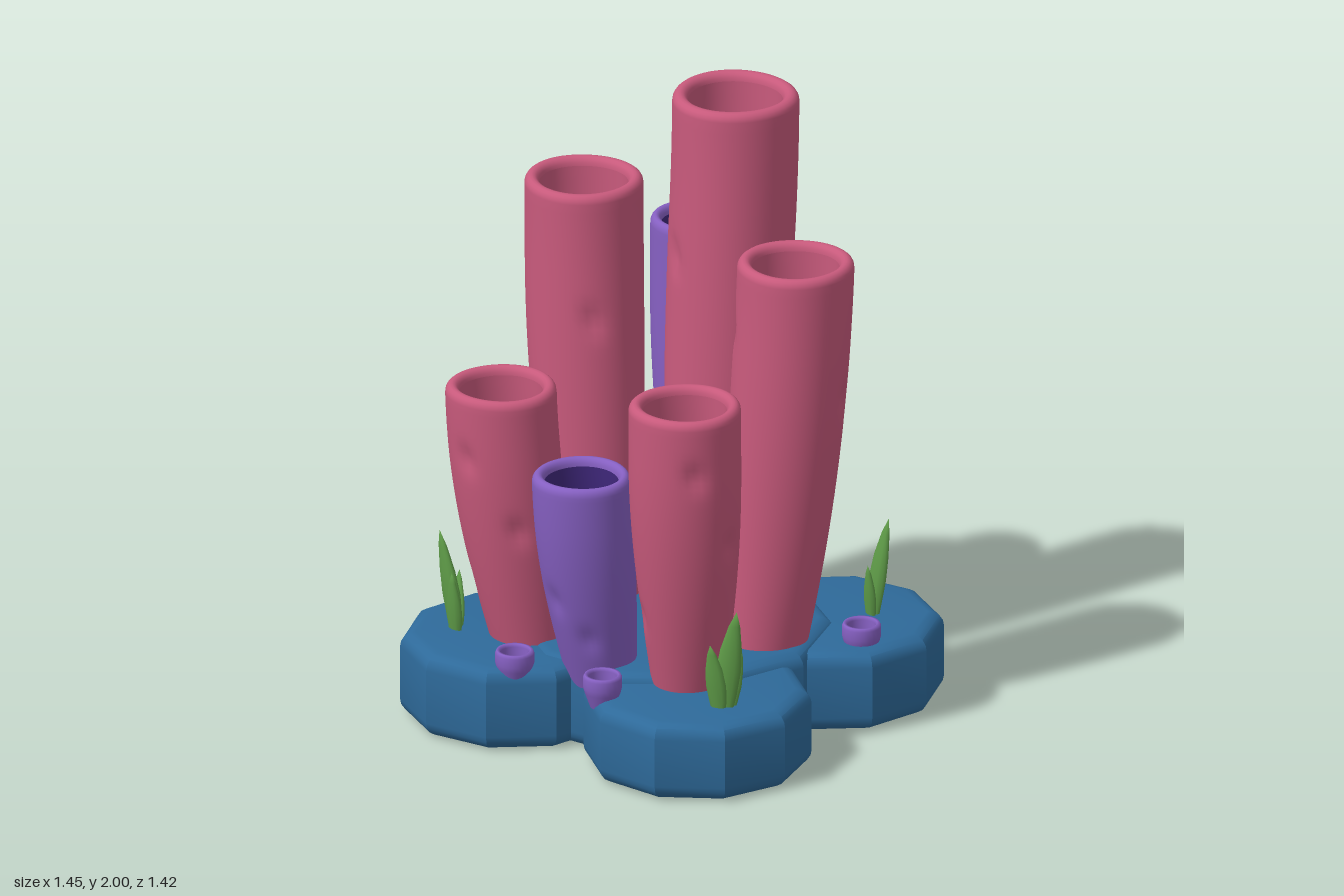
import * as THREE from 'three';
import { mergeVertices, toCreasedNormals } from 'three/addons/utils/BufferGeometryUtils.js';

const mat = (name, color) => Object.assign(new THREE.MeshStandardMaterial({ color }), { name });
const V2 = (x, y) => new THREE.Vector2(x, y);

export function createModel() {
  const group = new THREE.Group();
  const pink = mat('coral pink', 0xc85a7c);
  const purple = mat('sponge purple', 0x8660c2);
  const dark = mat('deep purple', 0x40287c);
  const blue = mat('rock blue', 0x2e6a9a);
  const green = mat('weed green', 0x5f9c48);

  const add = (parent, name, geo, material) => {
    const m = new THREE.Mesh(geo, material);
    m.name = name;
    parent.add(m);
    return m;
  };

  // Smooth normals across the lathe seam
  const smooth = (geo) => {
    geo.deleteAttribute('uv');
    geo.deleteAttribute('normal');
    const g = mergeVertices(geo, 1e-5);
    g.computeVertexNormals();
    return g;
  };

  // Rock base: ten-sided bevelled slabs
  const rock = (name, pts, height) => {
    const b = 0.05;
    const geo = new THREE.ExtrudeGeometry(new THREE.Shape(pts), {
      depth: height - 2 * b, bevelThickness: b, bevelSize: b, bevelOffset: -b, bevelSegments: 4,
    });
    geo.rotateX(-Math.PI / 2).translate(0, b, 0);
    add(group, name, toCreasedNormals(geo, 0.5), blue);
  };
  const ring = (cx, cz, r, flipX, flipZ, start) => Array.from({ length: 10 }, (_, i) => {
    const a = start + i * Math.PI / 5;
    return V2(flipX * (cx + r * Math.cos(a)), -flipZ * (cz + r * Math.sin(a)));
  });
  rock('centreRock', ring(0, 0, 0.52, 1, 1, 0), 0.29);
  for (const [sx, sz, h] of [[1, 1, 0.26], [-1, 1, 0.28], [1, -1, 0.27], [-1, -1, 0.275]]) {
    rock('lobeRock', ring(0.362, 0.358, 0.365, sx, sz, -0.56), h);
  }

  // Hollow leaning tubes; dents are [angle from front, height]
  const tube = (name, base, top, r0, r1, height, wallMat, cavityMat, dents) => {
    const y0 = 0.2, span = height - y0, wall = r1 * 0.25;
    const radius = (t) => r0 + (r1 - r0) * Math.sin(Math.min(1, t / 0.8) * Math.PI / 2);
    const bend = (geo) => {
      const p = geo.attributes.position, v = new THREE.Vector3();
      for (let i = 0; i < p.count; i++) {
        v.fromBufferAttribute(p, i);
        const t = (v.y - y0) / span, k = 1 - Math.pow(1 - Math.min(t, 1), 1.5);
        const r = Math.hypot(v.x, v.z), a = Math.atan2(v.x, v.z);
        let s = 1 + 0.015 * Math.sin(3 * a + 4 * v.y);
        if (r > radius(t) - 0.01) {
          for (const [da, dy] of dents) {
            const d = Math.atan2(Math.sin(a - da), Math.cos(a - da)) * r / 0.03;
            const e = (v.y - dy) / 0.045;
            s -= 0.09 * Math.exp(-d * d - e * e);
          }
        }
        p.setXYZ(i, v.x * s + base[0] + (top[0] - base[0]) * k, v.y,
          v.z * s + base[1] + (top[1] - base[1]) * k);
      }
      return smooth(geo);
    };
    const outer = [], rim = 0.028;
    for (let i = 0; i <= 44; i++) {
      const t = i / 44 * (span - rim) / span;
      outer.push(V2(radius(t), y0 + t * span));
    }
    for (let i = 1; i <= 8; i++) {
      const a = i / 8 * Math.PI;
      outer.push(V2(r1 - wall / 2 + wall / 2 * Math.cos(a), height - rim + rim * Math.sin(a)));
    }
    const depth = Math.min(0.4, span * 0.4), cavity = [];
    for (let i = 0; i <= 8; i++) {
      const y = height - rim - depth * i / 8;
      cavity.push(V2(radius((y - y0) / span) - wall, y));
    }
    const floorY = height - rim - depth;
    const part = new THREE.Group();
    part.name = name;
    group.add(part);
    add(part, 'wall', bend(new THREE.LatheGeometry(outer, 48)), wallMat);
    add(part, 'cavity', bend(new THREE.LatheGeometry(cavity, 48)), cavityMat);
    add(part, 'cavityFloor', bend(new THREE.LatheGeometry(
      [V2(cavity[8].x, floorY), V2(0, floorY)], 48)), cavityMat);
  };
  tube('tallBackTube', [0, -0.21], [0.015, -0.32], 0.15, 0.203, 2.0, pink, pink,
    [[-0.5, 1.47], [1.5, 0.75], [2.6, 1.5], [-2.2, 0.9]]);
  tube('backRightTube', [-0.33, -0.05], [-0.43, -0.11], 0.135, 0.19, 1.675, pink, pink,
    [[0.75, 1.25], [-1.2, 0.9], [-2.6, 1.3]]);
  tube('backLeftTube', [0.32, -0.05], [0.415, -0.1], 0.13, 0.187, 1.59, pink, pink,
    [[-1, 1.35], [1.9, 1.13], [3, 0.7]]);
  tube('frontRightTube', [-0.31, 0.33], [-0.37, 0.415], 0.12, 0.178, 1.145, pink, pink,
    [[-0.15, 0.93], [0.75, 0.69], [-1, 0.48], [2.8, 0.85]]);
  tube('frontLeftTube', [0.3, 0.325], [0.345, 0.4], 0.11, 0.18, 1.245, pink, pink,
    [[0.8, 1.05], [1.6, 0.78], [-0.7, 0.5], [-2.8, 0.9]]);
  tube('frontPurpleTube', [0, 0.38], [0, 0.488], 0.11, 0.158, 0.95, purple, dark,
    [[-0.25, 0.53], [0.5, 0.4], [-1.5, 0.7]]);
  tube('backPurpleTube', [-0.23, -0.455], [-0.26, -0.482], 0.085, 0.143, 1.455, purple, dark,
    [[2, 1.2], [-2.6, 0.7], [3, 1.05]]);

  // Small open cups on the rocks
  const cup = new THREE.LatheGeometry([
    V2(0.04, 0.22), V2(0.058, 0.27), V2(0.063, 0.29), V2(0.063, 0.32), V2(0.058, 0.33),
    V2(0.05, 0.33), V2(0.046, 0.32), V2(0.044, 0.25),
  ], 24);
  for (const [x, z] of [[-0.59, -0.24], [0.573, -0.24], [-0.187, 0.595], [0.16, 0.595]]) {
    add(group, 'cup', cup, purple).position.set(x, 0, z);
  }

  // Pointed weed blades in clusters, curving towards their tips
  const blade = (height, width, leanX, leanZ) => {
    const pts = [V2(0.55, 0), V2(0.85, 0.2), V2(1, 0.42), V2(0.85, 0.63), V2(0.45, 0.86), V2(0, 1)];
    const geo = new THREE.LatheGeometry(pts.map((p) => V2(p.x * width / 2, p.y * height)), 10);
    const p = geo.attributes.position;
    for (let i = 0; i < p.count; i++) {
      const k = Math.pow(p.getY(i) / height, 1.4);
      p.setX(i, p.getX(i) + leanX * k);
      p.setZ(i, p.getZ(i) * 0.5 + leanZ * k);
    }
    return smooth(geo);
  };
  for (const [x, z, turn] of [[0.53, 0.44, 0.3], [-0.53, 0.44, -0.3], [0.46, -0.455, -0.4], [-0.46, -0.455, 0.4]]) {
    const s = Math.sign(x), f = Math.sign(z);
    const weed = new THREE.Group();
    weed.name = 'weed';
    weed.position.set(x, 0.23, z);
    weed.rotation.y = turn;
    group.add(weed);
    add(weed, 'tallBlade', blade(0.37, 0.085, s * 0.05, f * 0.03), green);
    add(weed, 'shortBlade', blade(0.25, 0.07, -s * 0.02, f * 0.03), green).position.set(-s * 0.015, 0, f * 0.015);
    add(weed, 'sideBlade', blade(0.22, 0.06, s * 0.03, -f * 0.03), green).position.set(s * 0.01, 0, -f * 0.012);
  }
  return group;
}
